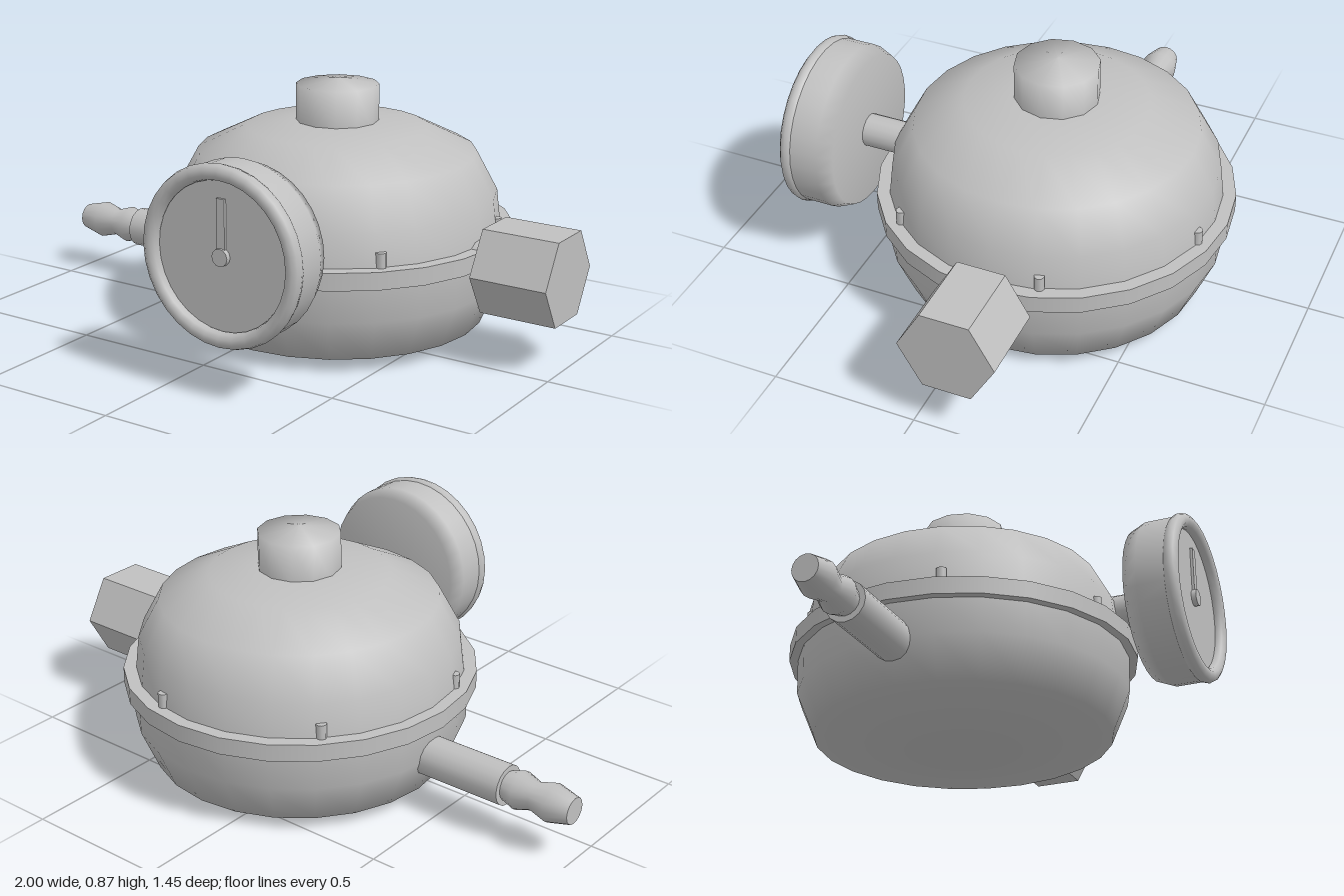
import * as THREE from 'three';

export function createModel() {
  const model = new THREE.Group();
  const metal = new THREE.MeshStandardMaterial({ color: 0xc0c0c0 });
  metal.name = 'grey metal';

  const CX = 0.12, CZ = -0.12; // axis of the round body

  function add(name, geometry, x, y, z, parent = model) {
    const mesh = new THREE.Mesh(geometry, metal);
    mesh.name = name;
    mesh.position.set(x, y, z);
    parent.add(mesh);
    return mesh;
  }
  // profile of [radius, height] pairs, from bottom to top
  const lathe = (profile, sides) =>
    new THREE.LatheGeometry(profile.map(([r, y]) => new THREE.Vector2(r, y)), sides);

  // Lower bowl, flange and upper dome
  add('lowerBowl', lathe([[0, 0], [0.2, 0.002], [0.515, 0.045], [0.575, 0.19], [0.578, 0.33]], 24), CX, 0, CZ);
  add('flange', new THREE.CylinderGeometry(0.607, 0.607, 0.06, 24), CX, 0.34, CZ);
  add('upperDome', lathe([[0.566, 0.35], [0.55, 0.485], [0.477, 0.62], [0.308, 0.703], [0.14, 0.722], [0, 0.724]], 24), CX, 0, CZ);

  // Cap on top
  add('topCap', lathe([[0.142, 0.7], [0.142, 0.847], [0, 0.867]], 12), CX, 0, CZ);

  // Small bolts around the flange
  for (let i = 0; i < 6; i++) {
    const a = THREE.MathUtils.degToRad(43 + 60 * i);
    add('flangeBolt', new THREE.CylinderGeometry(0.018, 0.018, 0.06, 8),
      CX + 0.558 * Math.cos(a), 0.39, CZ + 0.558 * Math.sin(a));
  }

  // Hexagonal inlet nut with its neck
  const neck = add('inletNeck', new THREE.CylinderGeometry(0.08, 0.08, 0.2, 16), 0.66, 0.312, CZ);
  neck.rotation.z = Math.PI / 2;
  const hex = new THREE.CylinderGeometry(0.165, 0.165, 0.27, 6).toNonIndexed();
  hex.computeVertexNormals();
  const nut = add('inletNut', hex, 0.865, 0.312, CZ);
  nut.rotation.z = Math.PI / 2;

  // Outlet pipe with a barbed hose end
  const pipe = add('outletPipe', new THREE.CylinderGeometry(0.07, 0.07, 0.4, 16), -0.55, 0.19, CZ);
  pipe.rotation.z = Math.PI / 2;
  const barb = add('hoseBarb', lathe([[0.05, 0.7], [0.05, 0.75], [0.066, 0.8], [0.048, 0.855], [0.066, 0.92], [0.046, 1]], 16), 0, 0.19, CZ);
  barb.rotation.z = Math.PI / 2;
  const tip = add('barbTip', new THREE.CircleGeometry(0.046, 16), -1, 0.19, CZ);
  tip.rotation.y = -Math.PI / 2;

  // Pressure gauge facing forward
  const gauge = new THREE.Group();
  gauge.name = 'pressureGauge';
  gauge.position.set(0.223, 0.467, 0);
  model.add(gauge);
  const stem = add('gaugeStem', new THREE.CylinderGeometry(0.057, 0.057, 0.32, 16), 0, 0, 0.39, gauge);
  stem.rotation.x = Math.PI / 2;
  const housing = add('gaugeHousing', lathe([[0, 0.53], [0.265, 0.53], [0.287, 0.583], [0.287, 0.7]], 32), 0, 0, 0, gauge);
  housing.rotation.x = Math.PI / 2;
  add('gaugeRim', new THREE.TorusGeometry(0.268, 0.027, 10, 32), 0, 0, 0.698, gauge);
  add('gaugeDial', new THREE.CircleGeometry(0.27, 32), 0, 0, 0.692, gauge);
  add('gaugeNeedle', new THREE.BoxGeometry(0.03, 0.185, 0.009), 0, 0.0925, 0.697, gauge);
  const hub = add('needleHub', new THREE.CylinderGeometry(0.029, 0.029, 0.018, 12), 0, 0, 0.7, gauge);
  hub.rotation.x = Math.PI / 2;

  return model;
}
